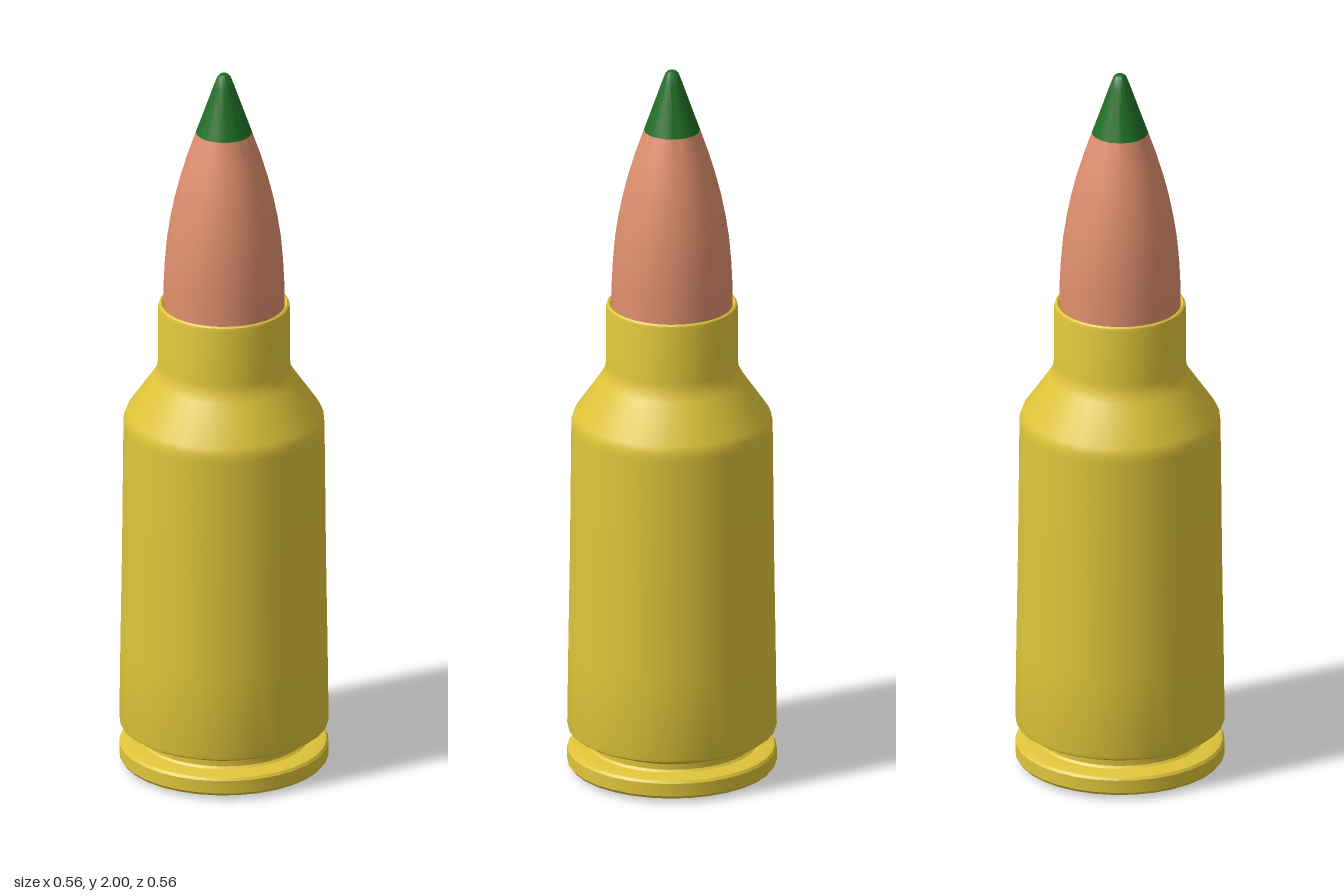
import * as THREE from 'three';
import { toCreasedNormals } from 'three/addons/utils/BufferGeometryUtils.js';

const flat = (name, color) => {
  const m = new THREE.MeshStandardMaterial({ color });
  m.name = name;
  return m;
};

// Turned part from [radius, height] pairs listed bottom to top
function turned(name, profile, material, segments = 32) {
  const points = profile.map(([r, y]) => new THREE.Vector2(r, y));
  const geometry = toCreasedNormals(new THREE.LatheGeometry(points, segments), 0.6);
  const mesh = new THREE.Mesh(geometry, material);
  mesh.name = name;
  return mesh;
}

export function createModel() {
  const brass = flat('brass', 0xe0c53a);
  const copper = flat('copper', 0xe08f6e);
  const green = flat('green', 0x1f6f24);
  const steel = flat('steel', 0x9a9a9a);

  const group = new THREE.Group();
  group.name = 'cartridge';

  // Case: base, rim, groove, tapered body, shoulder, neck and rolled mouth
  group.add(turned('case', [
    [0.125, 0.03], [0.13, 0.016], [0.14, 0.009], [0.265, 0.009],
    [0.275, 0.012], [0.281, 0.02], [0.281, 0.056], [0.276, 0.063], [0.265, 0.066],
    [0.228, 0.068], [0.222, 0.074], [0.222, 0.09], [0.23, 0.096],
    [0.272, 0.112], [0.279, 0.117], [0.281, 0.125],
    [0.278, 0.35], [0.274, 0.6], [0.27, 0.98], [0.269, 1.0], [0.262, 1.018],
    [0.193, 1.118], [0.181, 1.14], [0.177, 1.165],
    [0.177, 1.322], [0.175, 1.33], [0.17, 1.334], [0.165, 1.331], [0.162, 1.32],
  ], brass));

  // Slightly domed disc set in the base
  group.add(turned('primer', [
    [0, 0], [0.07, 0.001], [0.105, 0.004], [0.12, 0.01], [0.127, 0.025],
  ], steel));

  // Curved jacket seated in the neck
  group.add(turned('jacket', [
    [0.162, 1.25], [0.162, 1.39], [0.159, 1.45], [0.153, 1.52], [0.144, 1.58],
    [0.132, 1.64], [0.117, 1.7], [0.099, 1.76], [0.075, 1.83],
  ], copper, 48));

  // Painted point with a small blunt end
  group.add(turned('tip', [
    [0.075, 1.83], [0.06, 1.872], [0.044, 1.918], [0.028, 1.964],
    [0.018, 1.991], [0.012, 1.998], [0, 2],
  ], green, 48));

  return group;
}
